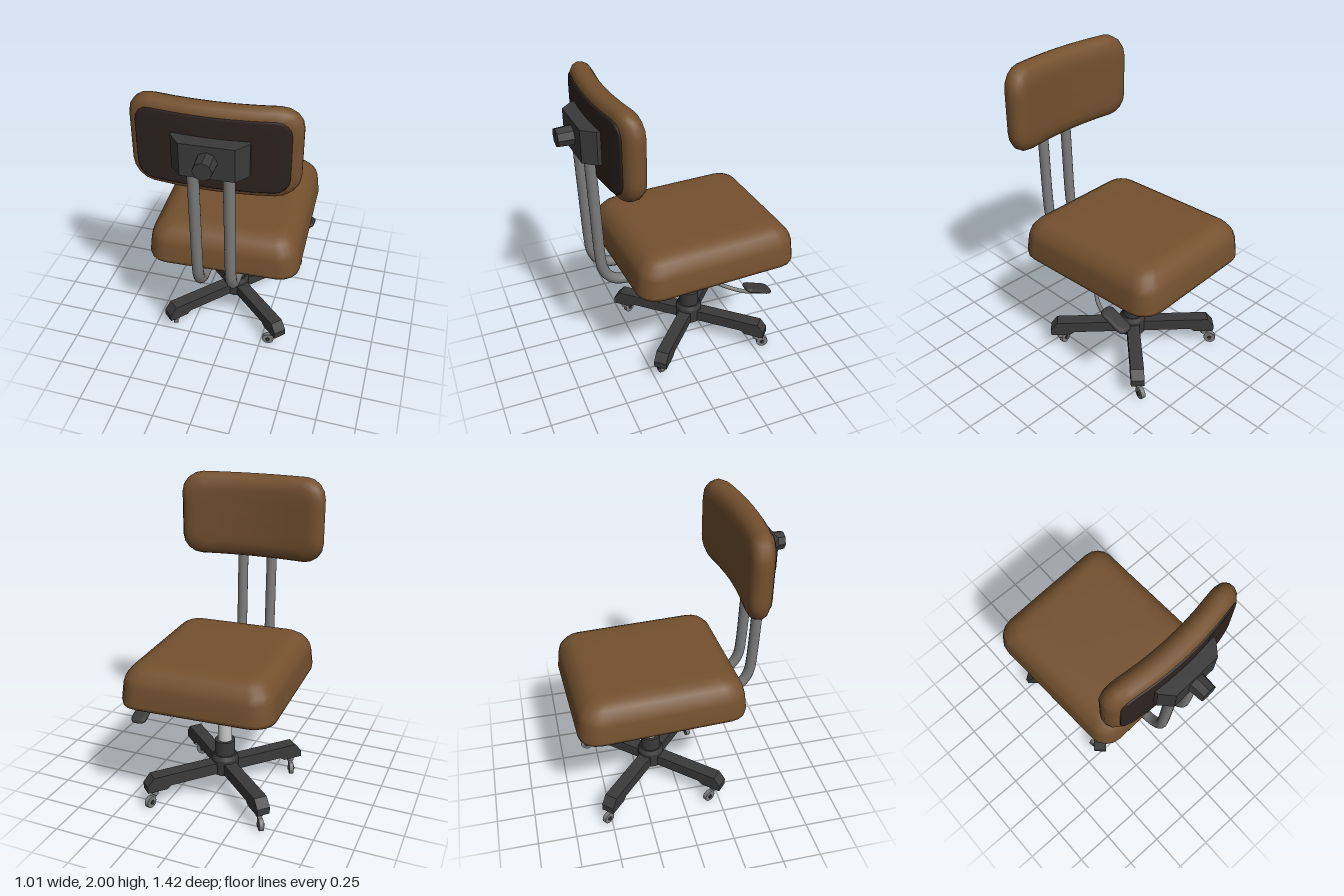
import * as THREE from 'three';

const mat = (color, extra = {}) => new THREE.MeshStandardMaterial({ color, ...extra });
const leather = mat(0x74512f), backing = mat(0x2e2320), plastic = mat(0x3a3a3a);
const facetedPlastic = mat(0x3a3a3a, { flatShading: true });
const steel = mat(0x7c7c7c), chrome = mat(0xcccccc);

function add(parent, name, geometry, material, x = 0, y = 0, z = 0) {
  const mesh = new THREE.Mesh(geometry, material);
  mesh.name = name;
  mesh.position.set(x, y, z);
  parent.add(mesh);
  return mesh;
}

// Closed outline of a rounded rectangle, with points along the edges so it can bend
function outline(w, h, r) {
  const pts = [], arc = 4, edge = 6;
  const corners = [[1, 1], [-1, 1], [-1, -1], [1, -1]];
  corners.forEach(([sx, sy], q) => {
    for (let i = 0; i <= arc; i++) {
      const a = (q + i / arc) * Math.PI / 2;
      pts.push([sx * (w / 2 - r) + r * Math.cos(a), sy * (h / 2 - r) + r * Math.sin(a)]);
    }
    const [nx, ny] = corners[(q + 1) % 4], a = (q + 1) * Math.PI / 2;
    const end = [nx * (w / 2 - r) + r * Math.cos(a), ny * (h / 2 - r) + r * Math.sin(a)];
    const start = pts[pts.length - 1];
    for (let i = 1; i < edge; i++)
      pts.push([0, 1].map(k => start[k] + (end[k] - start[k]) * i / edge));
  });
  return pts;
}

// Cushion built from [inset, depth] sections along z; bend curves its ends toward -z
function cushion(w, h, r, sections, bend = 0) {
  const first = sections[0], last = sections[sections.length - 1];
  const rings = [
    ...[0, 0.33, 0.66].map(s => [...first, s]),
    ...sections.map(s => [...s, 1]),
    ...[0.66, 0.33, 0].map(s => [...last, s]),
  ];
  const pos = [], index = [];
  let n = 0;
  for (const [inset, depth, s] of rings) {
    const pts = outline(w - 2 * inset, h - 2 * inset, Math.max(r - inset * 0.5, 0.02));
    n = pts.length;
    for (const [x, y] of pts) pos.push(x * s, y * s, depth - bend * (x * s) ** 2);
  }
  for (let i = 0; i < rings.length - 1; i++)
    for (let j = 0; j < n; j++) {
      const a = i * n + j, b = i * n + (j + 1) % n;
      index.push(a, b, b + n, a, b + n, a + n);
    }
  const g = new THREE.BufferGeometry();
  g.setAttribute('position', new THREE.Float32BufferAttribute(pos, 3));
  g.setIndex(index);
  g.computeVertexNormals();
  return g;
}

// Extrusion of [x, y] points, centred on its thickness
function slab(points, depth) {
  const shape = new THREE.Shape(points.map(p => new THREE.Vector2(...p)));
  return new THREE.ExtrudeGeometry(shape, { depth, bevelEnabled: false }).translate(0, 0, -depth / 2);
}

const tube = (points, radius) => new THREE.TubeGeometry(
  new THREE.CatmullRomCurve3(points.map(p => new THREE.Vector3(...p)), false, 'centripetal'), 40, radius, 12);

const cyl = (top, bottom, y0, y1, sides = 20) =>
  new THREE.CylinderGeometry(top, bottom, y1 - y0, sides).translate(0, (y0 + y1) / 2, 0);

function buildCaster() {
  const caster = new THREE.Group();
  caster.name = 'caster';
  add(caster, 'casterStem', cyl(0.022, 0.022, 0.075, 0.125, 10), steel);
  const fork = add(caster, 'casterFork', new THREE.BoxGeometry(0.028, 0.025, 0.07), steel, 0, 0.068, 0.02);
  fork.rotation.x = 0.5;
  add(caster, 'casterWheel', new THREE.CylinderGeometry(0.04, 0.04, 0.028, 14).rotateZ(Math.PI / 2), steel, 0, 0.04, 0.045);
  add(caster, 'casterAxle', new THREE.CylinderGeometry(0.014, 0.014, 0.044, 8).rotateZ(Math.PI / 2), plastic, 0, 0.04, 0.045);
  return caster;
}

export function createModel() {
  const model = new THREE.Group();
  model.name = 'officeChair';
  const chair = new THREE.Group();
  chair.name = 'chair';
  chair.position.set(-0.022, 0, -0.15);
  chair.rotation.y = 0.047;
  model.add(chair);

  // Seat cushion and its dark underside
  const seat = cushion(0.97, 1.085, 0.13,
    [[0.03, 0.755], [0.003, 0.768], [0, 0.79], [0.012, 0.9], [0.025, 0.945], [0.06, 0.99], [0.1, 1.015], [0.15, 1.026]]);
  add(chair, 'seat', seat.rotateX(-Math.PI / 2), leather, 0.018, 0, 0);
  const under = cushion(0.91, 1.02, 0.11, [[0, 0.75], [0, 0.758]]);
  add(chair, 'seatUnderside', under.rotateX(-Math.PI / 2), backing, 0.018, 0, 0);

  // Curved backrest with rear panel
  const back = new THREE.Group();
  back.name = 'backrest';
  back.position.set(0.01, 1.725, 0.597);
  chair.add(back);
  add(back, 'backCushion', cushion(0.97, 0.55, 0.13,
    [[0.1, -0.077], [0.055, -0.07], [0.02, -0.048], [0.003, -0.015], [0, 0.02], [0.012, 0.05], [0.045, 0.073]], 0.24), leather);
  add(back, 'backPanel', cushion(0.865, 0.45, 0.09, [[0, 0.05], [0, 0.077], [0.012, 0.081]], 0.24), backing);

  // Tapered bracket and adjusting knob
  const bracket = slab([[-0.22, -0.03], [0.22, -0.03], [0.22, 0.015], [0.155, 0.09], [-0.155, 0.09], [-0.22, 0.015]].map(([x, z]) => [x, -z]), 0.205);
  add(back, 'bracket', bracket.rotateX(-Math.PI / 2), plastic, 0, 0, 0.075);
  add(back, 'knob', new THREE.CylinderGeometry(0.056, 0.062, 0.1, 8).rotateX(Math.PI / 2), facetedPlastic, 0, 0.005, 0.21);

  // Pair of bent support tubes
  for (const side of [-1, 1])
    add(chair, side > 0 ? 'leftSupportTube' : 'rightSupportTube',
      tube([[0, 1.68, 0.703], [0, 1.3, 0.688], [0, 0.92, 0.672], [0, 0.84, 0.662], [0, 0.77, 0.63],
        [0, 0.725, 0.575], [0, 0.709, 0.5], [0, 0.709, 0.36], [0, 0.71, 0.22]], 0.035),
      steel, 0.015 + side * 0.102, 0, 0);

  // Mechanism housing under the seat
  add(chair, 'housingTop', cyl(0.258, 0.258, 0.655, 0.757, 14), plastic);
  add(chair, 'housingCone', cyl(0.258, 0.1, 0.555, 0.655, 14), plastic);

  // Height lever on the left side
  const lever = new THREE.Group();
  lever.name = 'heightLever';
  lever.position.set(0.022, 0, 0.15);
  chair.add(lever);
  add(lever, 'leverSocket', new THREE.CylinderGeometry(0.028, 0.034, 0.13, 10).rotateZ(-Math.PI / 2), plastic, 0.235, 0.672, -0.14);
  add(lever, 'leverRod', tube([[0.26, 0.672, -0.14], [0.34, 0.668, -0.17], [0.41, 0.65, -0.24], [0.445, 0.62, -0.33], [0.45, 0.592, -0.43]], 0.013), steel);
  const paddle = cushion(0.1, 0.2, 0.035, [[0.008, -0.013], [0, -0.005], [0, 0.006], [0.01, 0.014]]);
  add(lever, 'leverPaddle', paddle.rotateX(-Math.PI / 2), plastic, 0.435, 0.613, -0.415).rotation.x = -0.38;

  // Gas column and hub
  add(chair, 'column', cyl(0.047, 0.047, 0.34, 0.57), chrome);
  add(chair, 'columnSleeve', cyl(0.067, 0.067, 0.24, 0.362), plastic);
  add(chair, 'hubCollar', cyl(0.076, 0.09, 0.235, 0.262, 14), plastic);
  add(chair, 'hub', cyl(0.09, 0.09, 0.13, 0.235, 14), plastic);

  // Four legs, each with a swivelled caster
  const leg = slab([[0, 0.137], [0.4, 0.137], [0.43, 0.115], [0.56, 0.115], [0.56, 0.16], [0.515, 0.215], [0, 0.215]], 0.085);
  const swivels = [-1.5, 2.84, -2.6, -2.73];
  swivels.forEach((swivel, i) => {
    const a = -Math.PI / 4 + i * Math.PI / 2;
    add(chair, 'leg', leg, plastic).rotation.y = a;
    const caster = buildCaster();
    caster.position.set(0.5 * Math.cos(a), 0, -0.5 * Math.sin(a));
    caster.rotation.y = swivel;
    chair.add(caster);
  });

  return model;
}
